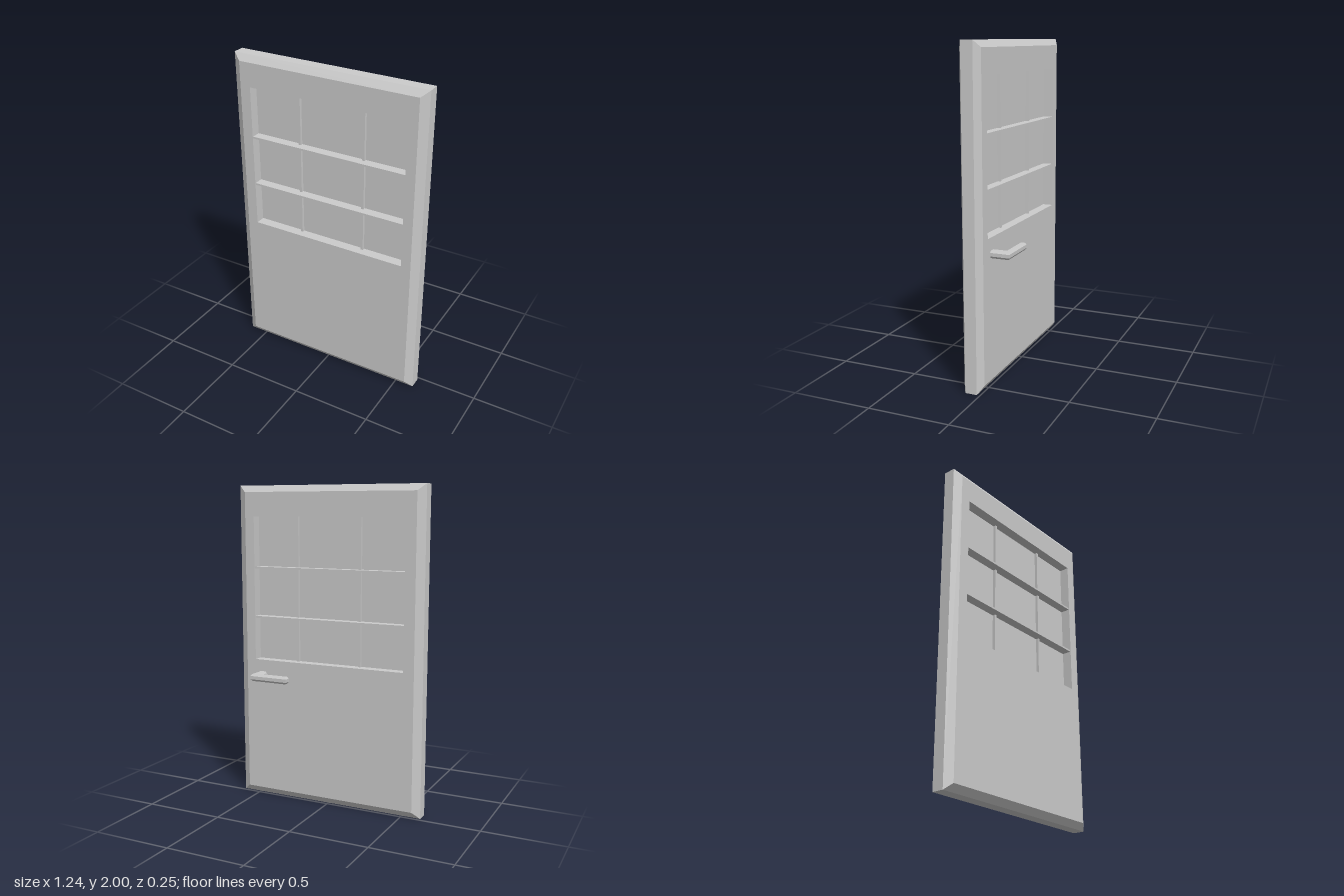
import * as THREE from 'three';

const W = 0.62, H = 2;                                   // door half width, height
const WIN = { x0: -0.505, x1: 0.51, y0: 0.9, y1: 1.81 }; // window opening
const LEVELS = [-0.007, 0.02, 0.093, 0.122];             // back, bevel edges, front
const MID = (LEVELS[0] + LEVELS[3]) / 2;

const material = new THREE.MeshStandardMaterial({ color: 0xcccccc, flatShading: true });

function add(group, name, geometry, x = 0, y = 0, z = 0) {
  const mesh = new THREE.Mesh(geometry, material);
  mesh.name = name;
  mesh.position.set(x, y, z);
  group.add(mesh);
  return mesh;
}

function outline(target, points) {
  target.setFromPoints(points.map(([x, y]) => new THREE.Vector2(x, y)));
  return target;
}

// Slab with a straight-cut opening; its outer rim is pulled in at both faces
function slabGeometry() {
  const shape = outline(new THREE.Shape(), [[-W, 0], [W, 0], [W, H], [-W, H]]);
  const { x0, x1, y0, y1 } = WIN;
  shape.holes.push(outline(new THREE.Path(), [[x0, y0], [x0, y1], [x1, y1], [x1, y0]]));
  const geo = new THREE.ExtrudeGeometry(shape, { depth: 3, steps: 3, bevelEnabled: false });
  const p = geo.attributes.position;
  for (let i = 0; i < p.count; i++) {
    const level = Math.round(p.getZ(i));
    const x = p.getX(i), y = p.getY(i);
    if ((level === 0 || level === 3) && Math.abs(x) > W - 0.01) {
      p.setX(i, x - Math.sign(x) * 0.048);
      p.setY(i, y > H / 2 ? y - 0.04 : y + 0.04);
    }
    p.setZ(i, LEVELS[level]);
  }
  geo.computeVertexNormals();
  return geo;
}

// L-shaped lever with chamfered long edges, drawn in plan and extruded upwards
function handleGeometry() {
  const plan = outline(new THREE.Shape(), [
    [0.225, 0.125], [0.225, 0.085], [0.43, 0.085], [0.43, 0], [0.48, 0], [0.48, 0.125],
  ]);
  const geo = new THREE.ExtrudeGeometry(plan, {
    depth: 0.021, bevelEnabled: true, bevelSegments: 1,
    bevelThickness: 0.012, bevelSize: 0.009, bevelOffset: -0.009,
  });
  return geo.rotateX(-Math.PI / 2); // plan y becomes -z
}

export function createModel() {
  const door = new THREE.Group();
  door.name = 'door';

  add(door, 'doorSlab', slabGeometry());

  // Window pane and glazing bars
  const w = WIN.x1 - WIN.x0, h = WIN.y1 - WIN.y0;
  const cx = (WIN.x0 + WIN.x1) / 2, cy = (WIN.y0 + WIN.y1) / 2;
  const win = new THREE.Group();
  win.name = 'window';
  door.add(win);
  add(win, 'pane', new THREE.BoxGeometry(w, h, 0.004), cx, cy, MID);
  for (const x of [-0.2, 0.225])
    add(win, 'verticalBar', new THREE.BoxGeometry(0.015, h, 0.04), x, cy, MID);
  for (const y of [1.175, 1.49])
    add(win, 'horizontalBar', new THREE.BoxGeometry(w, 0.012, 0.122), cx, y, MID);

  // Lever handle on the back
  add(door, 'handle', handleGeometry(), 0, 0.792, 0);
  return door;
}
